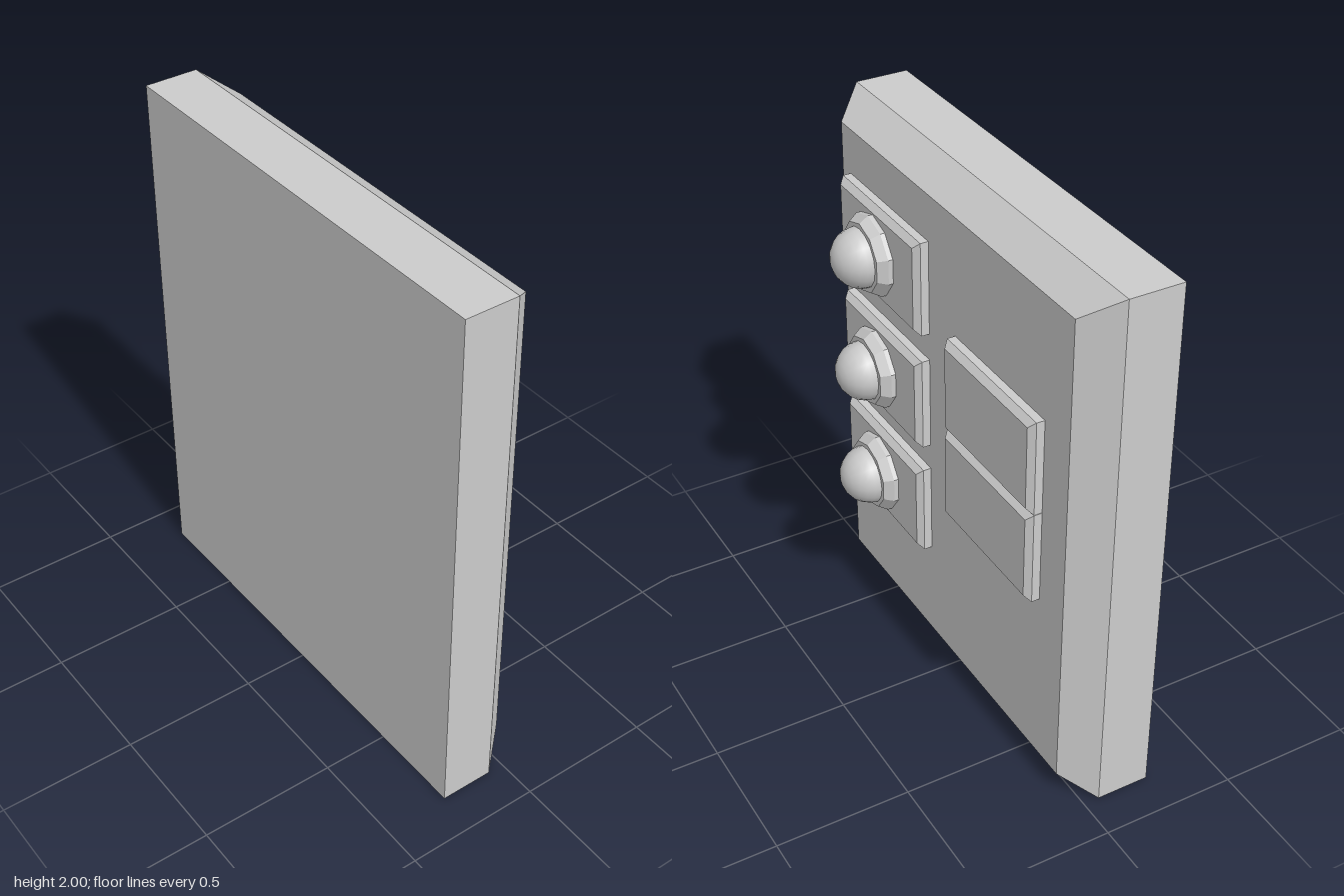
import * as THREE from 'three';

const material = new THREE.MeshStandardMaterial({ color: 0xcccccc });

// Block from z = front back to z = back, its rear rim chamfered from z = mid
function chamferedBlock(w, h, front, mid, back, insetX, insetY) {
  const box = new THREE.BoxGeometry(w, h, 2, 1, 1, 2);
  const p = box.attributes.position;
  for (let i = 0; i < p.count; i++) {
    const level = p.getZ(i);
    if (level > 0.5) p.setZ(i, front);
    else if (level > -0.5) p.setZ(i, mid);
    else {
      p.setXYZ(i, p.getX(i) - Math.sign(p.getX(i)) * insetX,
        p.getY(i) - Math.sign(p.getY(i)) * insetY, back);
    }
  }
  const flat = box.toNonIndexed();
  flat.computeVertexNormals();
  return flat;
}

function addMesh(parent, name, geometry, x, y, z = 0) {
  const mesh = new THREE.Mesh(geometry, material);
  mesh.name = name;
  mesh.position.set(x, y, z);
  parent.add(mesh);
  return mesh;
}

export function createModel() {
  const model = new THREE.Group();
  model.name = 'buttonPanel';

  // Main slab with wide chamfers around its rear face
  addMesh(model, 'slab', chamferedBlock(1.7, 2, 0.257, 0.06, -0.053, 0.1, 0.085), 0, 1);

  const plate = chamferedBlock(0.56, 0.355, -0.05, -0.083, -0.104, 0.02, 0.022);

  // Faceted collar, pointing to the rear
  const collarProfile = [[0.15, 0], [0.15, 0.018], [0.128, 0.052], [0, 0.052]]
    .map(([r, y]) => new THREE.Vector2(r, y));
  const collar = new THREE.LatheGeometry(collarProfile, 10).toNonIndexed();
  collar.computeVertexNormals();
  collar.rotateX(-Math.PI / 2);

  // Smooth half-round button
  const dome = new THREE.SphereGeometry(0.11, 16, 6, 0, Math.PI * 2, 0, Math.PI / 2);
  dome.rotateX(-Math.PI / 2);

  // Three plates carrying buttons
  for (const y of [1.567, 1.108, 0.652]) {
    const unit = new THREE.Group();
    unit.name = 'buttonUnit';
    unit.position.y = y;
    addMesh(unit, 'buttonPlate', plate, 0.41, 0);
    addMesh(unit, 'buttonCollar', collar, 0.43, 0, -0.103);
    addMesh(unit, 'buttonDome', dome, 0.43, 0, -0.15);
    model.add(unit);
  }

  // Two plain plates stacked edge to edge
  for (const y of [1.3, 0.943]) addMesh(model, 'plainPlate', plate, -0.327, y);

  return model;
}
